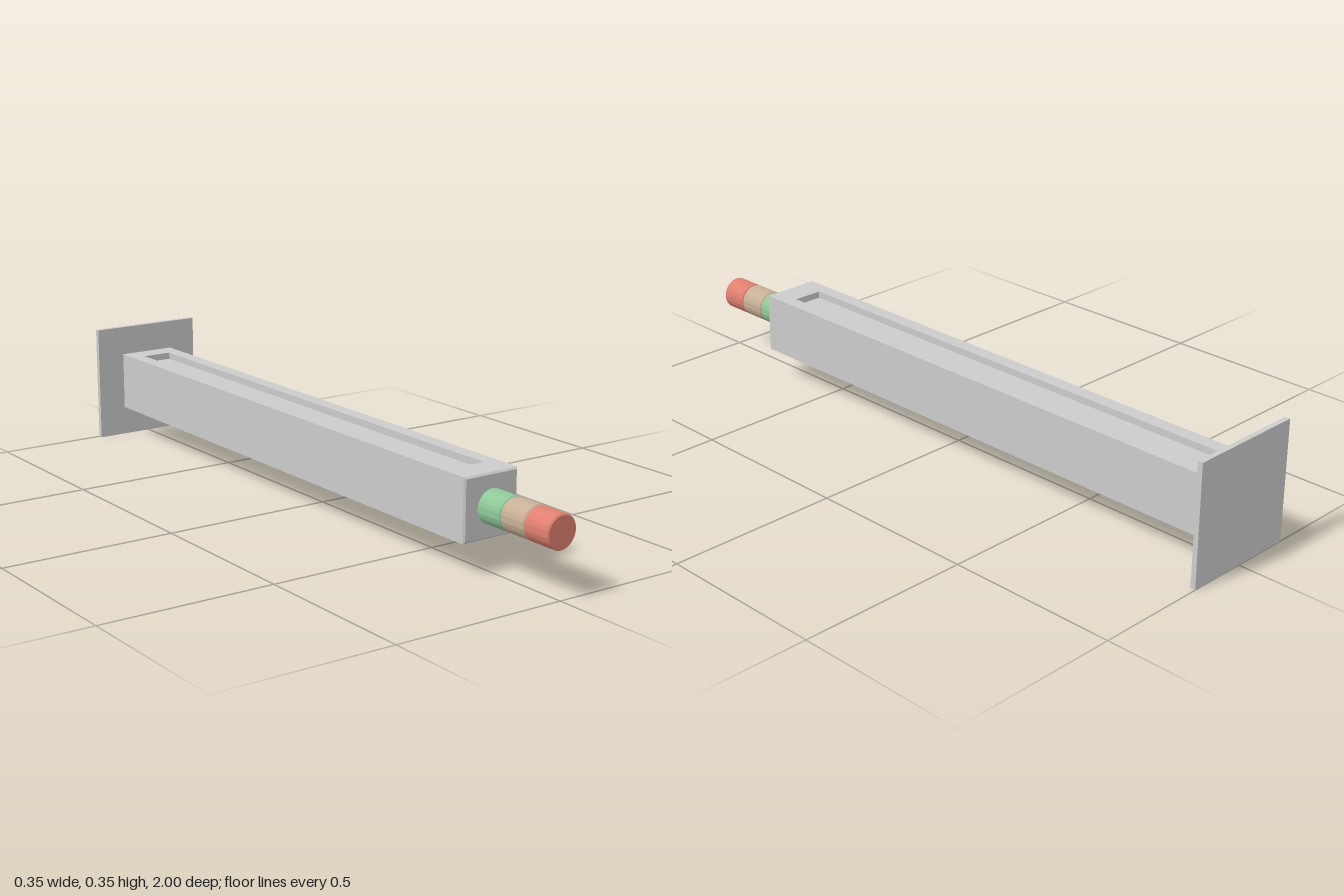
import * as THREE from 'three';
import { toCreasedNormals } from 'three/addons/utils/BufferGeometryUtils.js';

const CY = 0.175;                    // height of the long axis
const HALF = 0.087;                  // half width of the square beam
const BACK = -0.985, FRONT = 0.735;  // beam ends
const CHAMFER = 0.005, POCKET = 0.02;

function rectangle(PathType, x, z0, z1) {
  return new PathType([[-x, z0], [x, z0], [x, z1], [-x, z1]].map(p => new THREE.Vector2(...p)));
}

export function createModel() {
  const model = new THREE.Group();
  const grey = new THREE.MeshStandardMaterial({ color: 0xcccccc });
  const add = (parent, name, geometry, material, x = 0, y = 0, z = 0) => {
    const mesh = new THREE.Mesh(geometry, material);
    mesh.name = name;
    mesh.position.set(x, y, z);
    parent.add(mesh);
    return mesh;
  };

  // thin square plate at the back
  add(model, 'backPlate', new THREE.BoxGeometry(0.348, 0.35, 0.015), grey, 0, CY, -0.9925);

  // square beam: solid core between two frames that leave a long pocket
  const beam = new THREE.Group();
  beam.name = 'beam';
  model.add(beam);
  const end = FRONT - CHAMFER;
  add(beam, 'beamCore', new THREE.BoxGeometry(2 * HALF, 2 * (HALF - POCKET), end - BACK),
    grey, 0, CY, (end + BACK) / 2);

  const outline = rectangle(THREE.Shape, HALF, BACK, end);
  outline.holes.push(rectangle(THREE.Path, 0.045, -0.92, 0.65));
  const frame = new THREE.ExtrudeGeometry(outline, { depth: POCKET, bevelEnabled: false });
  frame.rotateX(Math.PI / 2);
  add(beam, 'topPocketFrame', frame, grey, 0, CY + HALF, 0);
  add(beam, 'bottomPocketFrame', frame, grey, 0, CY - HALF + POCKET, 0);

  // chamfered front end of the beam
  const cap = new THREE.CylinderGeometry((HALF - CHAMFER) * Math.SQRT2, HALF * Math.SQRT2, CHAMFER, 4);
  cap.rotateY(Math.PI / 4).rotateX(Math.PI / 2);
  add(beam, 'beamFrontCap', toCreasedNormals(cap, 0.3), grey, 0, CY, FRONT - CHAMFER / 2);

  // three coloured cylinders with chamfered rims, end to end
  const length = (1 - FRONT) / 3, r = 0.047, c = 0.004;
  const profile = [[0, 0], [r - c, 0], [r, c], [r, length - c], [r - c, length], [0, length]]
    .map(p => new THREE.Vector2(...p));
  const segment = toCreasedNormals(new THREE.LatheGeometry(profile, 48).rotateX(Math.PI / 2), 0.5);
  [['greenSegment', 0x8fc898], ['tanSegment', 0xc8b096], ['redSegment', 0xe08070]]
    .forEach(([name, color], i) => add(model, name, segment,
      new THREE.MeshStandardMaterial({ color }), 0, CY, FRONT + i * length));

  return model;
}
